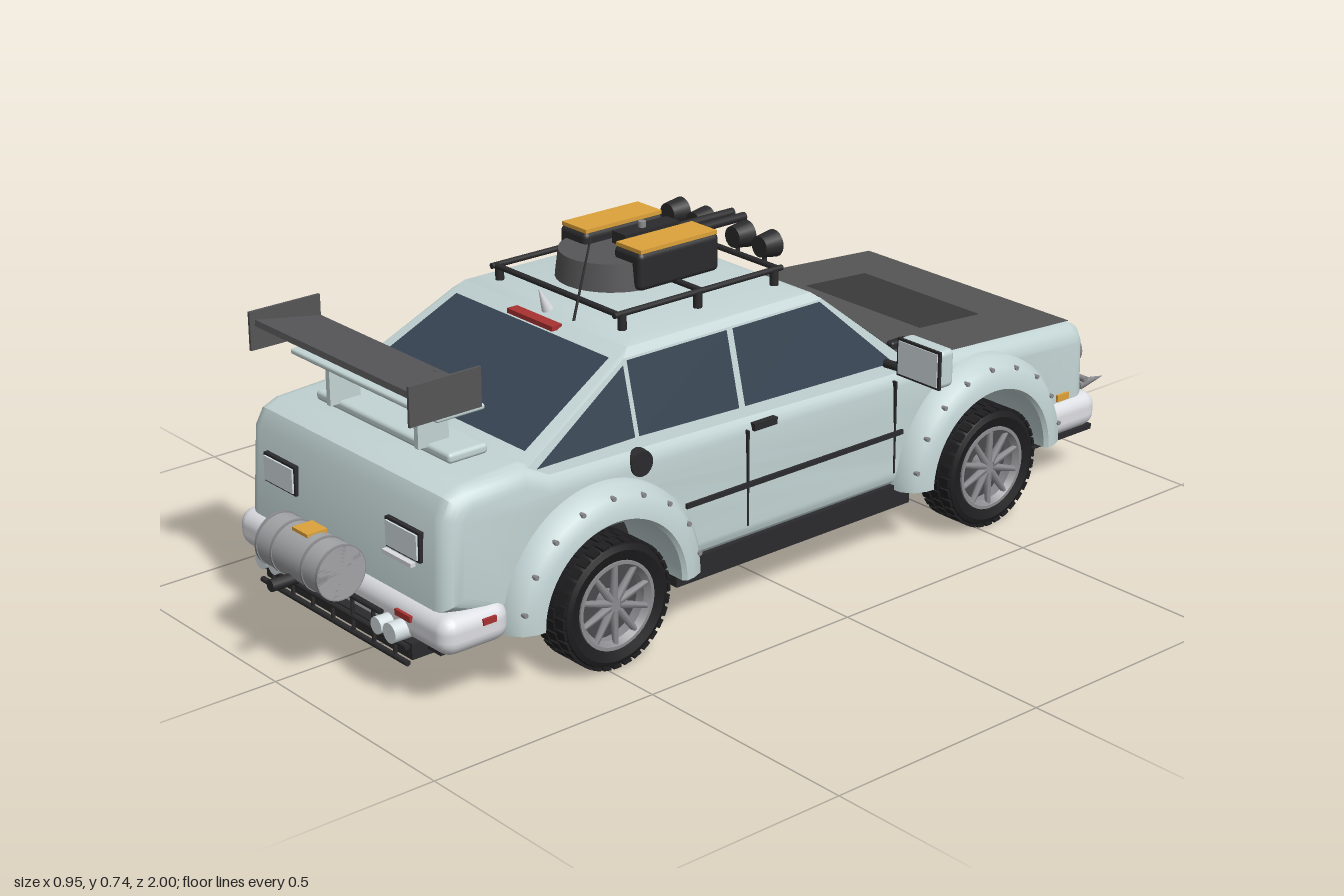
import * as THREE from 'three';
import { toCreasedNormals } from 'three/addons/utils/BufferGeometryUtils.js';
import { RoundedBoxGeometry } from 'three/addons/geometries/RoundedBoxGeometry.js';
import { ConvexGeometry } from 'three/addons/geometries/ConvexGeometry.js';

const PAINT = 0xc3d4d4, DARK = 0x2b2b2d, TYRE = 0x1e1e20, HOOD = 0x565557, GLASS = 0x364452,
  PALE = 0xdcdde2, STEEL = 0x8c8c90, AMBER = 0xdda23a, RED = 0xa83232, LAMP = 0xd4dde0;
const V = (x, y, z) => new THREE.Vector3(x, y, z);
const SIDES = [1, -1];

export function createModel() {
  const car = new THREE.Group();
  car.name = 'car';
  const mats = {};
  const mat = (c) => (mats[c] ??= new THREE.MeshStandardMaterial({ color: c, side: THREE.DoubleSide }));
  const add = (name, geo, color, parent = car) => {
    const m = new THREE.Mesh(geo, mat(color));
    m.name = name;
    parent.add(m);
    return m;
  };
  // Box given by its ranges, optionally rounded
  const box = (name, color, x0, x1, y0, y1, z0, z1, r = 0, parent = car) => {
    const s = [Math.abs(x1 - x0), y1 - y0, z1 - z0];
    const g = r ? new RoundedBoxGeometry(...s, 3, r) : new THREE.BoxGeometry(...s);
    const m = add(name, g, color, parent);
    m.position.set((x0 + x1) / 2, (y0 + y1) / 2, (z0 + z1) / 2);
    return m;
  };
  // Round bar from a to b; r2 is the radius at b
  const rod = (name, color, a, b, r, r2 = r, seg = 12, parent = car) => {
    const d = b.clone().sub(a);
    const m = add(name, new THREE.CylinderGeometry(r2, r, d.length(), seg), color, parent);
    m.position.copy(a).addScaledVector(d, 0.5);
    m.quaternion.setFromUnitVectors(V(0, 1, 0), d.normalize());
    return m;
  };
  // Flat polygon fan
  const panel = (name, color, pts) => {
    const g = new THREE.BufferGeometry();
    const p = [];
    for (let i = 1; i < pts.length - 1; i++) for (const q of [pts[0], pts[i], pts[i + 1]]) p.push(q.x, q.y, q.z);
    g.setAttribute('position', new THREE.Float32BufferAttribute(p, 3));
    g.computeVertexNormals();
    return add(name, g, color);
  };

  const REAR = 0.48, FRONT = -0.53, HUB = 0.13;

  // Lower body: side outline with wheel arches, rounded and narrowing upwards
  const s = new THREE.Shape();
  s.moveTo(-0.8, 0.13);
  for (const z of [REAR, FRONT]) s.absarc(-z, HUB, 0.165, Math.PI, 0, true);
  [[0.85, 0.13], [0.875, 0.18], [0.872, 0.32], [0.862, 0.345], [0.835, 0.36], [0.36, 0.392], [-0.58, 0.412],
    [-0.64, 0.438], [-0.775, 0.43], [-0.81, 0.415], [-0.828, 0.38], [-0.838, 0.2]].forEach((p) => s.lineTo(...p));
  let body = new THREE.ExtrudeGeometry(s, { depth: 0.57, bevelThickness: 0.04, bevelSize: 0.04, bevelOffset: -0.04, bevelSegments: 6, curveSegments: 20 });
  body.translate(0, 0, -0.285).rotateY(Math.PI / 2);
  const bp = body.attributes.position;
  for (let i = 0; i < bp.count; i++) bp.setX(i, bp.getX(i) * (1.01 - 0.15 * Math.max(0, bp.getY(i) - 0.25)));
  add('body', toCreasedNormals(body, 0.6), PAINT);

  // Cabin and its glass
  const sideX = (y) => 0.312 - (y - 0.38) * 0.254;
  const rearZ = (y) => 0.37 + (0.565 - y) * 1.862;
  const shieldZ = (y) => -0.14 - (0.565 - y) * 1.21;
  const hull = [];
  for (const x of SIDES) {
    for (const y of [0.38, 0.565]) hull.push(V(x * sideX(y), y, rearZ(y)), V(x * sideX(y), y, shieldZ(y)));
    hull.push(V(x * 0.252, 0.58, 0.35), V(x * 0.252, 0.58, -0.12), V(x * 0.23, 0.588, 0.32), V(x * 0.23, 0.588, -0.09));
  }
  add('cabin', toCreasedNormals(new ConvexGeometry(hull), 0.45), PAINT);
  const endGlass = (name, zf, dir, y0, y1, w0, w1) => panel(name, GLASS, [[-w0, y0], [w0, y0], [w1, y1], [-w1, y1]]
    .map(([x, y]) => V(x, y + 0.003, zf(y) + dir * 0.003)));
  endGlass('rearWindow', rearZ, 1, 0.44, 0.56, 0.265, 0.238);
  endGlass('windshield', shieldZ, -1, 0.4, 0.56, 0.29, 0.243);
  for (const x of SIDES) {
    const pane = (name, pts) => panel(name, GLASS, pts.map(([z, y]) => V(x * (sideX(y) + 0.003), y, z)));
    pane('quarterWindow', [[0.61, 0.42], [0.375, 0.42], [0.375, 0.555]]);
    pane('rearDoorWindow', [[0.365, 0.42], [0.115, 0.412], [0.115, 0.562], [0.365, 0.562]]);
    pane('frontDoorWindow', [[0.1, 0.412], [-0.3, 0.403], [-0.13, 0.562], [0.1, 0.562]]);
    // Door seams, moulding, handles
    for (const z of [0.11, -0.29]) box('doorSeam', DARK, x * 0.32, x * 0.33, 0.17, 0.37, z - 0.002, z + 0.002);
    box('sideMoulding', DARK, x * 0.32, x * 0.333, 0.252, 0.262, -0.31, 0.27);
    box('doorHandle', DARK, x * 0.31, x * 0.33, 0.365, 0.38, 0.035, 0.095);
    rod('fuelCap', DARK, V(x * 0.29, 0.373, 0.375), V(x * 0.326, 0.373, 0.375), 0.03, 0.026, 20);
    box('sideMarker', AMBER, x * 0.32, x * 0.333, 0.2, 0.215, -0.81, -0.775);
    box('sill', DARK, x * 0.27, x * 0.325, 0.09, 0.14, -0.34, 0.29);
    // Wing mirror
    box('mirrorShell', PAINT, x * 0.355, x * 0.475, 0.4, 0.48, -0.305, -0.265, 0.012);
    box('mirrorFrame', DARK, x * 0.356, x * 0.474, 0.4, 0.48, -0.268, -0.262);
    box('mirrorGlass', LAMP, x * 0.361, x * 0.469, 0.405, 0.475, -0.264, -0.26);
    box('mirrorSignal', AMBER, x * 0.4, x * 0.45, 0.43, 0.445, -0.308, -0.3);
    rod('mirrorArm', DARK, V(x * 0.29, 0.405, -0.28), V(x * 0.37, 0.41, -0.28), 0.009);
  }

  // Hood panel, vent and pins
  const hoodY = (z) => 0.364 + (z + 0.83) * 0.066;
  const hoodPlate = (name, color, w0, w1, z0, z1, lift) => panel(name, color,
    [V(-w0, hoodY(z0) + lift, z0), V(w0, hoodY(z0) + lift, z0), V(w1, hoodY(z1) + lift, z1), V(-w1, hoodY(z1) + lift, z1)]);
  hoodPlate('hood', HOOD, 0.305, 0.312, -0.83, -0.35, 0.001);
  hoodPlate('hoodVent', 0x3a3a3c, 0.175, 0.175, -0.69, -0.51, 0.004);
  for (const x of SIDES) {
    box('hoodPin', DARK, x * 0.225, x * 0.245, 0.39, 0.412, -0.41, -0.36, 0.006);
    rod('wiper', DARK, V(x * 0.12, 0.4, -0.36), V(x * 0.12 - 0.1, 0.425, -0.325), 0.004);
  }

  // Wheels, flares and suspension
  const tyre = new THREE.LatheGeometry([[0.086, -0.036], [0.112, -0.045], [0.122, -0.041], [0.127, -0.03], [0.127, 0.03],
    [0.122, 0.041], [0.112, 0.045], [0.086, 0.036]].map((p) => new THREE.Vector2(...p)), 40).rotateZ(-Math.PI / 2);
  const rim = new THREE.LatheGeometry([[0.088, -0.036], [0.08, -0.03], [0.08, 0.028], [0.09, 0.038], [0.09, 0.042], [0.083, 0.042], [0.074, 0.03]]
    .map((p) => new THREE.Vector2(...p)), 40).rotateZ(-Math.PI / 2);
  const flare = new THREE.LatheGeometry([[0.165, -0.03], [0.165, 0.04], [0.172, 0.048], [0.19, 0.046], [0.215, 0.036], [0.233, 0.014], [0.236, -0.02]]
    .map((p) => new THREE.Vector2(...p)), 40, Math.PI, Math.PI).rotateZ(-Math.PI / 2);
  for (const z of [REAR, FRONT]) {
    for (const x of SIDES) {
      const w = new THREE.Group();
      w.name = (z > 0 ? 'rear' : 'front') + 'Wheel';
      w.position.set(x * 0.335, HUB, z);
      if (x < 0) w.rotation.y = Math.PI;
      car.add(w);
      add('tyre', toCreasedNormals(tyre, 0.6), TYRE, w);
      add('rim', toCreasedNormals(rim, 0.6), STEEL, w);
      rod('brakeDisc', 0x4a4a4d, V(-0.02, 0, 0), V(0.005, 0, 0), 0.078, 0.078, 32, w);
      rod('hub', STEEL, V(0, 0, 0), V(0.036, 0, 0), 0.024, 0.018, 20, w);
      for (let i = 0; i < 10; i++) {
        const a = (i / 10) * Math.PI * 2;
        rod('spoke', STEEL, V(0.03, Math.cos(a) * 0.012, Math.sin(a) * 0.012), V(0.034, Math.cos(a) * 0.084, Math.sin(a) * 0.084), 0.009, 0.006, 6, w);
      }
      for (let i = 0; i < 32; i++) {
        const a = (i / 32) * Math.PI * 2;
        for (const k of [-0.029, 0, 0.029]) {
          const t = a + (k ? 0 : Math.PI / 32);
          const b = box('tread', TYRE, k - 0.012, k + 0.012, -0.003, 0.003, -0.009, 0.009, 0, w);
          b.position.set(k, Math.cos(t) * 0.127, Math.sin(t) * 0.127);
          b.rotation.x = t;
        }
      }
      const f = new THREE.Group();
      f.name = 'wheelFlare';
      f.position.set(x * 0.33, HUB, z);
      f.rotation.y = w.rotation.y;
      car.add(f);
      add('flareShell', toCreasedNormals(flare, 0.7), PAINT, f);
      for (let i = 0; i < 9; i++) {
        const a = 0.2 + (i / 8) * (Math.PI - 0.4);
        rod('bolt', STEEL, V(0.02, Math.sin(a) * 0.215, Math.cos(a) * 0.215), V(0.041, Math.sin(a) * 0.215, Math.cos(a) * 0.215), 0.005, 0.005, 8, f);
      }
      rod('shock', STEEL, V(x * 0.25, 0.12, z), V(x * 0.23, 0.31, z), 0.009);
      for (let i = 0; i < 5; i++) {
        const c = add('springCoil', new THREE.TorusGeometry(0.02, 0.005, 6, 16), 0xb8502f);
        c.position.set(x * (0.245 - i * 0.002), 0.17 + i * 0.025, z);
        c.rotation.x = Math.PI / 2;
      }
    }
    rod('axle', DARK, V(-0.32, HUB, z), V(0.32, HUB, z), 0.016);
  }

  // Underside
  box('floorPan', DARK, -0.28, 0.28, 0.085, 0.14, -0.35, 0.3);
  box('rearAxleCover', DARK, -0.22, 0.22, 0.1, 0.28, 0.3, 0.66);
  box('rearPan', DARK, -0.28, 0.28, 0.1, 0.14, 0.65, 0.82);
  box('frontPan', DARK, -0.29, 0.29, 0.095, 0.135, -0.87, -0.72);
  box('fuelTank', 0x3c3c3e, -0.08, 0.08, 0.078, 0.1, 0.5, 0.72);
  for (const x of SIDES) box('chassisRail', DARK, x * 0.12, x * 0.15, 0.11, 0.15, -0.75, -0.33);
  box('crossMember', STEEL, -0.25, 0.25, 0.14, 0.165, -0.45, -0.42);

  // Bumpers
  box('rearBumper', PALE, -0.345, 0.345, 0.12, 0.2, 0.7, 0.855, 0.032);
  box('frontBumper', PALE, -0.345, 0.345, 0.12, 0.2, -0.895, -0.73, 0.032);
  box('splitter', DARK, -0.3, 0.3, 0.09, 0.102, -0.925, -0.72);

  // Nose: grille, headlights, bull bar and spikes
  box('grille', DARK, -0.14, 0.14, 0.24, 0.315, -0.885, -0.86);
  for (let i = 0; i < 5; i++) box('grilleSlat', STEEL, -0.13, 0.13, 0.25 + i * 0.013, 0.254 + i * 0.013, -0.889, -0.88);
  for (const x of SIDES) for (const k of [0.19, 0.265]) {
    rod('headlightRing', STEEL, V(x * k, 0.28, -0.85), V(x * k, 0.28, -0.884), 0.036, 0.035, 28);
    rod('headlight', LAMP, V(x * k, 0.28, -0.87), V(x * k, 0.28, -0.888), 0.029, 0.027, 28);
  }
  for (const y of [0.165, 0.205]) rod('bullBar', STEEL, V(-0.29, y, -0.912), V(0.29, y, -0.912), 0.007);
  for (let i = 0; i < 14; i++) rod('bullBarBrace', STEEL, V(-0.28 + i * 0.04, i % 2 ? 0.205 : 0.165, -0.912), V(-0.24 + i * 0.04, i % 2 ? 0.165 : 0.205, -0.912), 0.005, 0.005, 8);
  for (let i = -3; i <= 3; i++) rod('spike', STEEL, V(i * 0.088, 0.185, -0.91), V(i * 0.088, 0.185, -0.995), 0.015, 0.0005);

  // Tail: lamps, guard, drum
  for (const x of SIDES) {
    box('tailLampFrame', DARK, x * 0.147, x * 0.253, 0.282, 0.342, 0.8, 0.84);
    box('tailLamp', LAMP, x * 0.152, x * 0.248, 0.287, 0.337, 0.82, 0.844);
    box('reflector', RED, x * 0.195, x * 0.243, 0.166, 0.178, 0.84, 0.86);
    for (const [k, r] of [[0.212, 0.02], [0.17, 0.017]]) rod('rearSpot', LAMP, V(x * k, 0.142, 0.84), V(x * k, 0.142, 0.885), r, r, 24);
    box('sideReflector', RED, x * 0.335, x * 0.347, 0.17, 0.182, 0.74, 0.77);
  }
  box('tailTrim', PALE, 0.14, 0.23, 0.267, 0.275, 0.82, 0.845);
  for (const [y, w] of [[0.085, 0.24], [0.118, 0.24], [0.16, 0.16]]) rod('rearGuardBar', DARK, V(-w, y, 0.865), V(w, y, 0.865), 0.006);
  for (let i = -3; i <= 3; i++) rod('rearGuardPost', DARK, V(i * 0.067, 0.085, 0.865), V(i * 0.067, i % 3 ? 0.16 : 0.118 + (i ? 0 : 0.04), 0.865), 0.004);
  box('rearGuardPlate', DARK, -0.24, 0.24, 0.088, 0.12, 0.8, 0.855);
  rod('drum', 0xa3a4a6, V(-0.103, 0.232, 0.91), V(0.103, 0.232, 0.91), 0.053, 0.053, 32);
  for (const x of [-0.1, -0.05, 0.05, 0.1]) rod('drumHoop', STEEL, V(x - 0.003, 0.232, 0.91), V(x + 0.003, 0.232, 0.91), 0.055, 0.055, 32);
  box('drumLabel', AMBER, -0.025, 0.025, 0.27, 0.288, 0.885, 0.93);
  rod('nozzle', DARK, V(0, 0.197, 0.8), V(0, 0.197, 1), 0.012);

  // Rear wing
  box('wingBase', PAINT, -0.215, 0.215, 0.435, 0.456, 0.65, 0.74, 0.008);
  for (const x of SIDES) {
    box('wingPost', PAINT, x * 0.135, x * 0.147, 0.45, 0.535, 0.69, 0.76);
    box('wingUpperPost', DARK, x * 0.133, x * 0.142, 0.53, 0.59, 0.71, 0.76);
    box('wingEndPlate', HOOD, x * 0.252, x * 0.258, 0.552, 0.63, 0.695, 0.855);
  }
  box('lowerBlade', PAINT, -0.235, 0.235, 0.533, 0.545, 0.67, 0.78, 0.005);
  box('wingBlade', HOOD, -0.255, 0.255, 0.588, 0.6, 0.695, 0.845).rotation.x = -0.17;

  // Roof rack and lamps
  for (const x of SIDES) {
    rod('rackRail', DARK, V(x * 0.19, 0.62, -0.1), V(x * 0.19, 0.62, 0.33), 0.006);
    for (const z of [-0.08, 0.12, 0.31]) rod('rackFoot', DARK, V(x * 0.19, 0.58, z), V(x * 0.19, 0.622, z), 0.009);
    for (const k of [0.06, 0.14]) {
      rod('roofLamp', DARK, V(x * k, 0.653, -0.085), V(x * k, 0.653, -0.125), 0.022, 0.028, 20);
      rod('roofLampLens', LAMP, V(x * k, 0.653, -0.12), V(x * k, 0.653, -0.128), 0.024, 0.024, 20);
      rod('roofLampStem', DARK, V(x * k, 0.618, -0.1), V(x * k, 0.64, -0.1), 0.005);
    }
    // Roof pack with amber lids
    box('roofPack', DARK, x * 0.042, x * 0.125, 0.62, 0.698, 0.005, 0.21, 0.012);
    box('packLid', AMBER, x * 0.046, x * 0.121, 0.696, 0.704, 0.01, 0.205);
    rod('barrel', DARK, V(x * 0.018, 0.672, 0.08), V(x * 0.018, 0.672, -0.155), 0.009);
  }
  for (const z of [-0.09, 0.11, 0.32]) rod('rackCrossbar', DARK, V(-0.19, 0.62, z), V(0.19, 0.62, z), 0.006);
  rod('roofDrum', HOOD, V(0, 0.62, 0.175), V(0, 0.675, 0.175), 0.115, 0.108, 32);
  box('drumBridge', DARK, -0.02, 0.02, 0.66, 0.7, 0.02, 0.16);
  rod('barrelTop', STEEL, V(0, 0.7, 0.1), V(0, 0.712, 0.1), 0.008);
  rod('antenna', DARK, V(0.08, 0.58, 0.34), V(0.08, 0.74, 0.295), 0.003, 0.002, 6);
  rod('roofFin', PALE, V(0, 0.585, 0.34), V(0, 0.63, 0.36), 0.012, 0.001);
  box('brakeLight', RED, -0.07, 0.07, 0.568, 0.578, 0.36, 0.385);
  return car;
}
